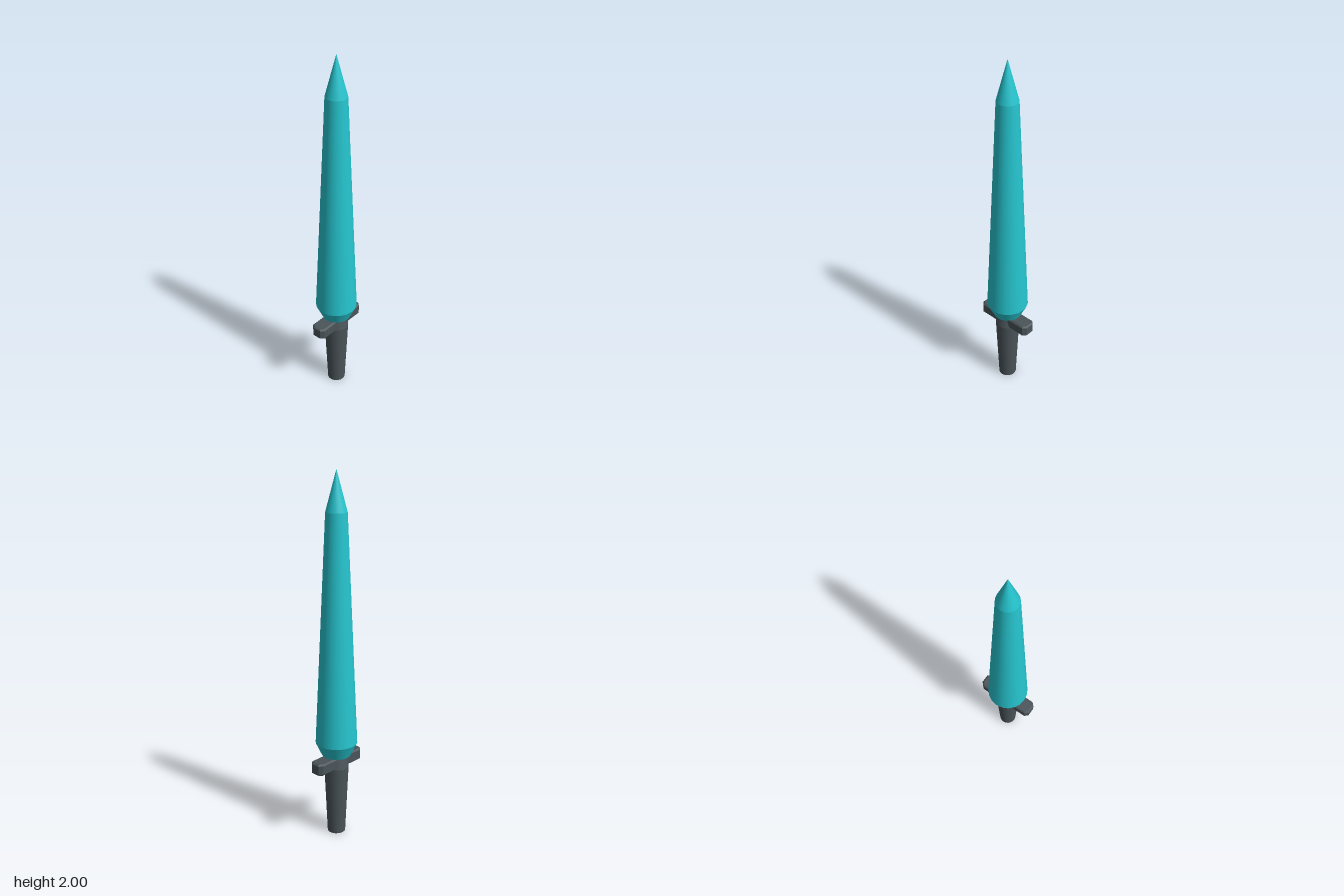
import * as THREE from 'three';

const SIDES = 20;

export function createModel() {
  const group = new THREE.Group();
  const bladeTeal = new THREE.MeshStandardMaterial({ color: 0x26c6d0 });
  bladeTeal.name = 'bladeTeal';
  const gripGrey = new THREE.MeshStandardMaterial({ color: 0x4a5459 });
  gripGrey.name = 'gripGrey';

  // Stack of round tapered sections, each with its own crisp edges
  function taperedStack(name, material, rings) {
    const part = new THREE.Group();
    part.name = name;
    for (let i = 0; i < rings.length - 1; i++) {
      const [r0, y0] = rings[i];
      const [r1, y1] = rings[i + 1];
      const section = new THREE.Mesh(
        new THREE.CylinderGeometry(r1, r0, y1 - y0, SIDES, 1, true), material);
      section.position.y = (y0 + y1) / 2;
      section.name = `${name}Section${i + 1}`;
      part.add(section);
    }
    // Close the flat ends
    const ends = [[rings[0], 1], [rings[rings.length - 1], -1]];
    for (const [[r, y], dir] of ends) {
      if (r === 0) continue;
      const cap = new THREE.Mesh(
        new THREE.CircleGeometry(r, SIDES, Math.PI / 2), material);
      cap.rotation.x = dir * Math.PI / 2;
      cap.position.y = y;
      cap.name = `${name}Cap`;
      part.add(cap);
    }
    group.add(part);
  }

  // Long blade with a flared base and a pointed tip
  taperedStack('blade', bladeTeal, [[0.08, 0.47], [0.115, 0.545], [0.057, 1.79], [0, 2]]);

  // Grip widens upwards, then narrows through the guard
  taperedStack('grip', gripGrey, [[0.05, 0], [0.068, 0.4], [0.052, 0.472]]);

  // Crossguard: bar with cut corners and bevelled rims
  const bevel = 0.008, x = 0.168 - bevel, z = 0.043 - bevel, cut = 0.014;
  const outline = new THREE.Shape([
    [x - cut, -z], [x, -z + cut], [x, z - cut], [x - cut, z],
    [-x + cut, z], [-x, z - cut], [-x, -z + cut], [-x + cut, -z],
  ].map(([a, b]) => new THREE.Vector2(a, b)));
  const guardShape = new THREE.ExtrudeGeometry(outline, {
    depth: 0.067 - 2 * bevel, bevelEnabled: true,
    bevelSize: bevel, bevelThickness: bevel, bevelSegments: 1,
  });
  guardShape.rotateX(-Math.PI / 2);
  const guard = new THREE.Mesh(guardShape, gripGrey);
  guard.position.y = 0.4 + bevel;
  guard.name = 'crossguard';
  group.add(guard);

  return group;
}
